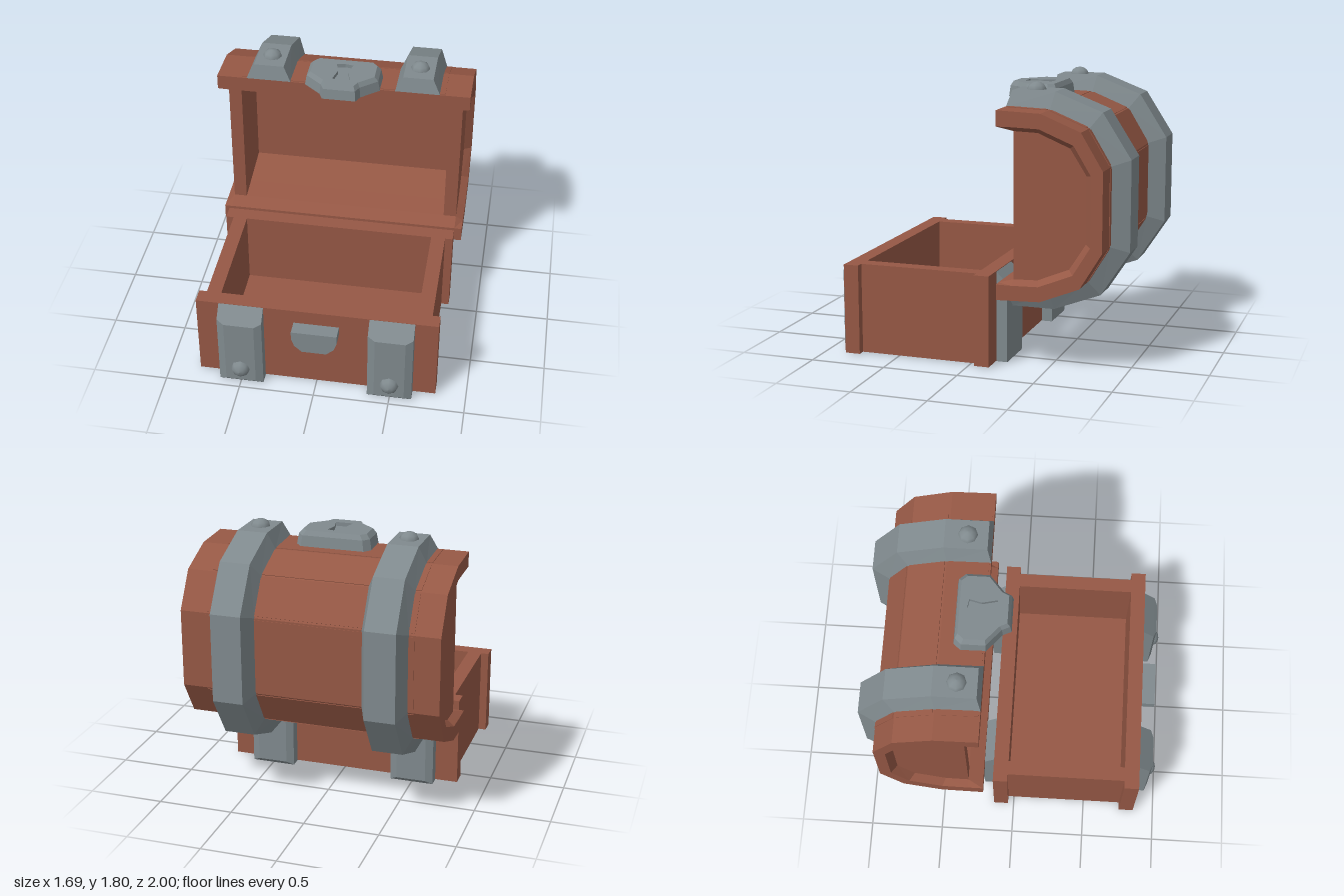
import * as THREE from 'three';

const wood = new THREE.MeshStandardMaterial({ color: 0x965845 });
wood.name = 'wood';
const metal = new THREE.MeshStandardMaterial({ color: 0x808a8e });
metal.name = 'metal';

// Flat-faced solid through matching rings of [x, y, z]; the end caps lie across `axis`
function loft(rings, axis) {
  const tris = [];
  const n = rings[0].length;
  for (let r = 0; r < rings.length - 1; r++) {
    for (let j = 0; j < n; j++) {
      const k = (j + 1) % n, a = rings[r], b = rings[r + 1];
      tris.push([a[j], a[k], b[k]], [a[j], b[k], b[j]]);
    }
  }
  const cap = (ring, last) => {
    const flat = ring.map((p) => new THREE.Vector2(p[(axis + 1) % 3], p[(axis + 2) % 3]));
    const keep = !THREE.ShapeUtils.isClockWise(flat) === last;
    for (const [a, b, c] of THREE.ShapeUtils.triangulateShape(flat, [])) {
      tris.push(keep ? [ring[a], ring[b], ring[c]] : [ring[a], ring[c], ring[b]]);
    }
  };
  cap(rings[0], false);
  cap(rings[rings.length - 1], true);
  // Turn the faces outward if the rings ran the other way
  let volume = 0;
  for (const t of tris) {
    const [a, b, c] = t.map((p) => new THREE.Vector3(...p));
    volume += a.dot(b.cross(c));
  }
  if (volume < 0) tris.forEach((t) => t.reverse());
  const geo = new THREE.BufferGeometry();
  geo.setAttribute('position', new THREE.Float32BufferAttribute(tris.flat(2), 3));
  geo.computeVertexNormals();
  return geo;
}

function add(parent, name, geo, mat) {
  const mesh = new THREE.Mesh(geo, mat);
  mesh.name = name;
  parent.add(mesh);
  return mesh;
}

// Box given by its limits
function block(parent, name, mat, x0, x1, y0, y1, z0, z1) {
  const mesh = add(parent, name, new THREE.BoxGeometry(x1 - x0, y1 - y0, z1 - z0), mat);
  mesh.position.set((x0 + x1) / 2, (y0 + y1) / 2, (z0 + z1) / 2);
  return mesh;
}

function rivet(parent, x, y, z) {
  const profile = [[0.063, -0.01], [0.063, 0.004], [0.052, 0.026], [0.027, 0.042], [0, 0.047]];
  const geo = new THREE.LatheGeometry(profile.map((p) => new THREE.Vector2(...p)), 8);
  const mesh = add(parent, 'rivet', geo, metal);
  mesh.position.set(x, y, z);
  return mesh;
}

// The lid's side profile is symmetric about this height
const LID_Y = 1.063;
const mirrored = (half) => [...half, ...half.slice().reverse().map(([z, y]) => [z, 2 * LID_Y - y])];
const at = (x, pts) => pts.map(([z, y]) => [x, y, z]);

function buildBase() {
  const base = new THREE.Group();
  base.name = 'chestBase';
  block(base, 'frontBoard', wood, -0.797, 0.797, 0.004, 0.6, 0.757, 0.858);
  block(base, 'backBoard', wood, -0.797, 0.797, 0.004, 0.6, -0.14, -0.04);
  block(base, 'floor', wood, -0.7, 0.7, 0.004, 0.08, -0.05, 0.77);
  for (const s of [-1, 1]) {
    block(base, 'sideBoard', wood, s * 0.697 - 0.048, s * 0.697 + 0.048, 0.004, 0.6, -0.05, 0.77);
    // Bevelled straps on front and back, joined underneath
    const x = s * 0.497;
    const ring = (h, y0, y1, z) => [[x - h, y0, z], [x + h, y0, z], [x + h, y1, z], [x - h, y1, z]];
    for (const side of [1, -1]) {
      const z = (d) => 0.36 + side * d;
      add(base, side > 0 ? 'frontStrap' : 'backStrap', loft([
        ring(0.148, 0, 0.598, z(0.49)),
        ring(0.148, 0, 0.598, z(0.498)),
        ring(0.148, 0, 0.522, z(0.573)),
        ring(0.1, 0.025, 0.5, z(0.594)),
      ], 2), metal);
    }
    block(base, 'bottomStrap', metal, x - 0.148, x + 0.148, 0, 0.009, -0.21, 0.93);
    rivet(base, x, 0.125, 0.953).rotation.x = Math.PI / 2;
  }
  // Catch plate
  const half = [[0.15, 0.5], [0.15, 0.44], [0.13, 0.385], [0.08, 0.34]];
  const outline = [...half, ...half.slice().reverse().map(([x, y]) => [-x, y])];
  add(base, 'catchPlate', loft([0.85, 0.954].map((z) => outline.map(([x, y]) => [x, y, z])), 2), metal);
  return base;
}

function buildLid() {
  const lid = new THREE.Group();
  lid.name = 'chestLid';
  const outer = mirrored([[-0.205, 1.66], [-0.49, 1.65], [-0.745, 1.547], [-0.885, 1.316]]);
  const rim = mirrored([[-0.205, 1.56], [-0.305, 1.56], [-0.48, 1.555], [-0.7, 1.465], [-0.81, 1.285]]);
  const recess = mirrored([[-0.205, 1.558], [-0.305, 1.53], [-0.46, 1.525], [-0.665, 1.44], [-0.77, 1.275]]);
  const lining = mirrored([[-0.205, 1.558], [-0.305, 1.53], [-0.46, 1.505], [-0.6, 1.481], [-0.74, 1.457]]);
  const section = (x, inner) => at(x, [...outer, ...inner.slice().reverse()]);

  // Curved shell with bevelled end rims
  add(lid, 'lidShell', loft([
    section(-0.845, rim), section(-0.795, recess), section(-0.77, recess), section(-0.75, lining),
    section(0.75, lining), section(0.77, recess), section(0.795, recess), section(0.845, rim),
  ], 0), wood);

  // Thin slats over the shell
  for (let i = 0; i < outer.length - 1; i++) {
    const [z0, y0] = outer[i], [z1, y1] = outer[i + 1];
    const length = Math.hypot(z1 - z0, y1 - y0) - 0.024;
    const slat = add(lid, 'slat', new THREE.BoxGeometry(1.36, length, 0.008), wood);
    slat.position.set(0, (y0 + y1) / 2, (z0 + z1) / 2);
    slat.rotation.x = Math.atan2(z1 - z0, y1 - y0);
  }

  const strapOuter = mirrored([[-0.23, 1.757], [-0.51, 1.757], [-0.815, 1.64], [-1, 1.354]]);
  for (const s of [-1, 1]) {
    // End panel, recessed outside and fitted to the lining inside
    add(lid, 'endPanel', loft([at(s * 0.74, recess.slice(1, -1)), at(s * 0.795, recess.slice(1, -1))], 0), wood);
    add(lid, 'endPanelInside', loft([at(s * 0.708, lining.slice(1, -1)), at(s * 0.755, lining.slice(1, -1))], 0), wood);
    // Tapered strap bent around the shell
    const x = s * 0.497;
    add(lid, 'lidStrap', loft(outer.map(([z, y], i) => {
      const [oz, oy] = strapOuter[i];
      return [[x - 0.148, y, z], [x + 0.148, y, z], [x + 0.1, oy, oz], [x - 0.1, oy, oz]];
    }), 0 + (outer.length ? 2 : 0)), metal);
    rivet(lid, x, 1.757, -0.36);
  }
  return lid;
}

function buildLock() {
  const lock = new THREE.Group();
  lock.name = 'lock';
  const half = [[0.21, -0.405], [0.25, -0.36], [0.25, -0.2], [0.135, -0.1], [0.11, -0.046]];
  const outline = [...half, ...half.slice().reverse().map(([x, z]) => [-x, z])];
  const scaled = (s) => outline.map(([x, z]) => [x * s, -0.225 + (z + 0.225) * s]);
  const ring = (s, y) => scaled(s).map(([x, z]) => [x, y, z]);
  add(lock, 'lockBody', loft([ring(1, 1.657), ring(0.95, 1.727), ring(0.93, 1.732)], 1), metal);
  // Domed top with a sunken keyhole
  const hole = [[-0.055, -0.32], [0, -0.33], [0.055, -0.32], [0.035, -0.24], [0.058, -0.14], [-0.058, -0.14], [-0.035, -0.24]];
  const vec = (pts) => pts.map((p) => new THREE.Vector2(...p));
  const top = new THREE.Shape(vec(scaled(0.85)));
  top.holes.push(new THREE.Path(vec(hole)));
  const geo = new THREE.ExtrudeGeometry(top, { depth: 0.025, bevelEnabled: false });
  geo.rotateX(Math.PI / 2);
  add(lock, 'keyholePlate', geo, metal).position.y = 1.757;
  // Sloping collar around the plate
  const low = ring(0.95, 1.727), high = ring(0.85, 1.757), pts = [];
  for (let i = 0; i < low.length; i++) {
    const k = (i + 1) % low.length;
    pts.push(low[i], high[k], low[k], low[i], high[i], high[k]);
  }
  const collar = new THREE.BufferGeometry();
  collar.setAttribute('position', new THREE.Float32BufferAttribute(pts.flat(), 3));
  // Ring order runs clockwise from above, so reverse faces that point inward
  collar.computeVertexNormals();
  if (collar.attributes.normal.getY(0) < 0) {
    collar.setAttribute('position', new THREE.Float32BufferAttribute(pts.reverse().flat(), 3));
    collar.computeVertexNormals();
  }
  add(lock, 'lockCollar', collar, metal);
  return lock;
}

export function createModel() {
  const chest = new THREE.Group();
  chest.name = 'treasureChest';
  chest.add(buildBase(), buildLid(), buildLock());
  return chest;
}
